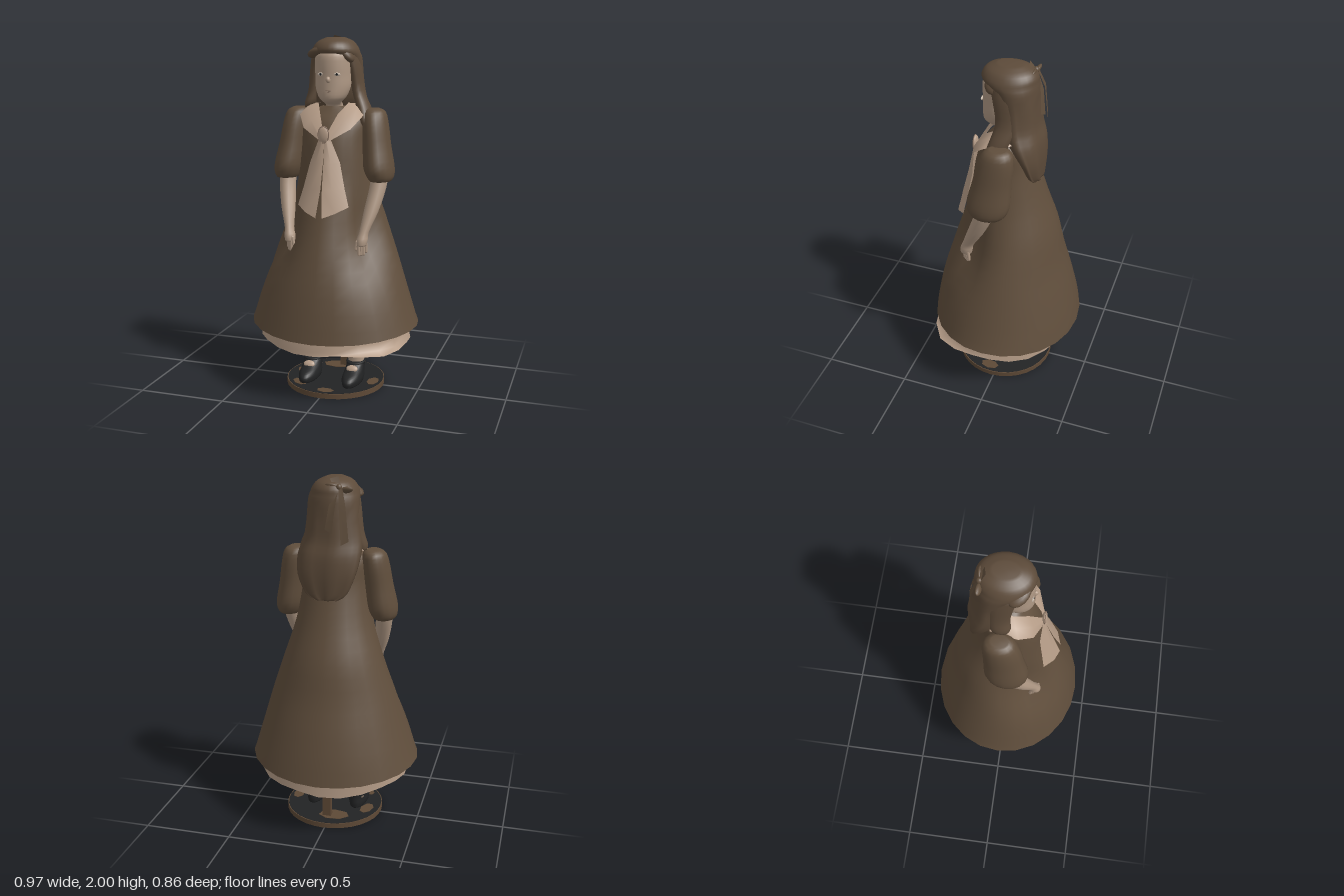
import * as THREE from 'three';

const mat = (name, color) => new THREE.MeshStandardMaterial({ name, color, side: THREE.DoubleSide });

// Smooth loft through level elliptical sections [y, cx, cz, rx, rz], listed from the bottom up
function loft(sections, { seg = 20, sub = 3, cap = true, rule = null } = {}) {
  const rows = [], n = sections.length, at = i => sections[Math.min(n - 1, Math.max(0, i))];
  for (let i = 0; i < n - 1; i++) {
    for (let k = 0; k < sub; k++) {
      const t = k / sub;
      rows.push(sections[i].map((b, d) => {
        const a = at(i - 1)[d], c = at(i + 1)[d], e = at(i + 2)[d];
        return b + 0.5 * t * (c - a + t * (2 * a - 5 * b + 4 * c - e + t * (3 * (b - c) + e - a)));
      }));
    }
  }
  rows.push(sections[n - 1]);
  if (cap) {
    const first = rows[0], last = rows[rows.length - 1];
    rows.unshift([first[0], first[1], first[2], 0, 0]);
    rows.push([last[0], last[1], last[2], 0, 0]);
  }
  const pos = [], index = [];
  rows.forEach(([y, cx, cz, rx, rz], i) => {
    for (let j = 0; j < seg; j++) {
      const a = j / seg * Math.PI * 2;
      const p = new THREE.Vector3(cx + rx * Math.sin(a), y, cz + rz * Math.cos(a));
      if (rule) rule(p, a, i === 0);
      pos.push(p.x, p.y, p.z);
      if (i < rows.length - 1) {
        const k = (j + 1) % seg, o = i * seg, u = o + seg;
        index.push(o + j, o + k, u + k, o + j, u + k, u + j);
      }
    }
  });
  return build(pos, index);
}

// Cloth sheet through rows of points
function sheet(rows) {
  const w = rows[0].length, index = [];
  for (let i = 0; i < rows.length - 1; i++) {
    for (let j = 0; j < w - 1; j++) {
      const a = i * w + j, b = a + w;
      index.push(a, a + 1, b + 1, a, b + 1, b);
    }
  }
  return build(rows.flat(2), index);
}

function build(pos, index) {
  const g = new THREE.BufferGeometry();
  g.setAttribute('position', new THREE.Float32BufferAttribute(pos, 3));
  g.setIndex(index);
  g.computeVertexNormals();
  return g;
}

export function createModel() {
  const root = new THREE.Group();
  const brown = mat('brown cloth', 0x604e3c), hairMat = mat('hair brown', 0x5d4b3a);
  const cream = mat('cream cloth', 0xb69d88), skin = mat('skin', 0xb09985);
  const black = mat('black leather', 0x222324), wood = mat('stand brown', 0x5e4936);
  const lip = mat('lip', 0x8d7565), white = mat('eye white', 0xcfc0b0);

  const add = (name, geo, material, x = 0, y = 0, z = 0) => {
    const m = new THREE.Mesh(geo, material);
    m.name = name;
    m.position.set(x, y, z);
    root.add(m);
    return m;
  };
  const ball = (name, material, x, y, z, sx, sy, sz) => {
    const m = add(name, new THREE.SphereGeometry(1, 16, 12), material, x, y, z);
    m.scale.set(sx, sy, sz);
    return m;
  };

  // Display stand with mottled top
  add('standBase', new THREE.CylinderGeometry(0.285, 0.285, 0.029, 32), wood, 0.008, 0.0165, 0.015);
  add('standTop', new THREE.CylinderGeometry(0.28, 0.28, 0.003, 32), black, 0.008, 0.031, 0.015);
  for (const [x, z, r, turn] of [[-0.16, 0.17, 0.055, -0.7], [0.02, 0.25, 0.05, 0], [0.24, 0.04, 0.055, 1.5],
    [-0.03, -0.16, 0.09, 0.1], [-0.2, -0.04, 0.06, 1.3]]) {
    const patch = add('standPatch', new THREE.CylinderGeometry(r, r, 0.003, 7), wood, x, 0.033, z);
    patch.scale.z = 0.6;
    patch.rotation.y = turn;
  }
  const under = add('standUnderPatch', new THREE.CylinderGeometry(0.075, 0.075, 0.003, 7), black, 0.235, 0.0017, 0.1);
  under.scale.x = 0.5;
  under.rotation.y = -0.35;
  add('standPole', new THREE.BoxGeometry(0.05, 0.95, 0.035), wood, 0.008, 0.5, -0.168);

  // Dress: flared skirt running up into the bodice, pressed in behind the hands
  add('dress', loft([
    [0.37, 0, 0, 0.485, 0.43], [0.6, 0, 0.004, 0.415, 0.383], [0.8, 0, 0.004, 0.355, 0.33],
    [1.0, 0, -0.008, 0.285, 0.278], [1.2, 0, -0.005, 0.218, 0.215], [1.4, 0, 0.008, 0.185, 0.17],
    [1.52, 0, 0, 0.185, 0.14], [1.58, 0, -0.008, 0.155, 0.1], [1.615, 0, 0, 0.065, 0.065],
  ], {
    seg: 24, cap: false,
    rule: (p, a, hem) => {
      const side = Math.min(a, Math.PI * 2 - a);
      const press = 1 - 0.28 * Math.exp(-(((side - 0.95) / 0.42) ** 2) - ((p.y - 0.93) / 0.22) ** 2);
      p.x *= press;
      p.z *= press;
      if (hem) p.y += -0.012 * Math.cos(2 * a) + 0.013 * Math.min(0, Math.cos(a));
    },
  }), brown);

  // Petticoat with an uneven hem, swung out to the front left
  add('petticoat', loft([
    [0.285, 0.01, 0.02, 0.435, 0.39], [0.4, 0.005, 0.015, 0.42, 0.38], [0.62, 0, 0.005, 0.36, 0.33],
  ], {
    seg: 22, cap: false,
    rule: (p, a, hem) => {
      if (!hem) return;
      const swing = 1 + 0.1 * Math.exp(-(((a - 0.8) / 0.4) ** 2));
      p.x *= swing;
      p.z *= swing;
      p.y += 0.025 * Math.abs(Math.sin(a)) - 0.016 + 0.017 * Math.cos(a) + 0.008 * Math.sin(5 * a);
    },
  }), cream);

  for (const s of [-1, 1]) {
    // Legs and strap shoes
    add('leg', loft([
      [0.09, s * 0.13, 0, 0.046, 0.05], [0.18, s * 0.128, 0, 0.05, 0.05],
      [0.3, s * 0.125, -0.002, 0.063, 0.064], [0.6, s * 0.12, 0, 0.07, 0.07], [0.9, s * 0.11, 0, 0.08, 0.08],
    ], { seg: 14 }), skin);
    add('shoe', loft([
      [0.034, s * 0.13, 0.07, 0.052, 0.128], [0.06, s * 0.13, 0.07, 0.057, 0.132],
      [0.085, s * 0.13, 0.058, 0.054, 0.118], [0.11, s * 0.13, 0.025, 0.052, 0.082],
      [0.142, s * 0.13, 0, 0.055, 0.06],
    ], { seg: 18 }), black);
    ball('instep', cream, s * 0.13, 0.115, 0.094, 0.034, 0.012, 0.022).rotation.x = 0.85;
    const strap = add('shoeStrap', new THREE.TorusGeometry(0.05, 0.008, 6, 20), black, s * 0.13, 0.138, 0.006);
    strap.rotation.x = Math.PI / 2 + 0.1;
    strap.scale.y = 1.2;

    // Puffed sleeves
    add('sleeve', loft([
      [1.21, s * 0.272, 0.03, 0.06, 0.085], [1.235, s * 0.27, 0.028, 0.075, 0.106],
      [1.29, s * 0.26, 0.024, 0.084, 0.12], [1.4, s * 0.244, 0.01, 0.077, 0.108],
      [1.51, s * 0.23, -0.005, 0.073, 0.1], [1.58, s * 0.22, -0.015, 0.064, 0.08],
      [1.603, s * 0.215, -0.015, 0.035, 0.045],
    ], { seg: 16 }), brown);

    // Arms and hands
    add('arm', loft([
      [0.87, s * 0.207, 0.182, 0.027, 0.033], [0.9, s * 0.21, 0.178, 0.031, 0.036],
      [0.945, s * 0.218, 0.163, 0.026, 0.033], [1.05, s * 0.242, 0.112, 0.04, 0.045],
      [1.17, s * 0.264, 0.06, 0.046, 0.052], [1.26, s * 0.27, 0.03, 0.048, 0.055],
    ], { seg: 14 }), skin);
    for (let f = 0; f < 4; f++) {
      const finger = add('finger', new THREE.CapsuleGeometry(0.01, 0.05, 3, 8), skin,
        s * (0.196 + f * 0.01), 0.846 + (f === 3 ? 0.012 : 0), 0.198 - f * 0.012);
      finger.rotation.x = 0.1;
    }
    const thumb = add('thumb', new THREE.CapsuleGeometry(0.01, 0.04, 3, 8), skin, s * 0.184, 0.872, 0.198);
    thumb.rotation.z = s * -0.2;

    // Wide collar flap
    add('collar', sheet([
      [[0, 1.625, -0.065], [s * 0.065, 1.635, -0.035], [s * 0.085, 1.63, 0.04], [s * 0.05, 1.575, 0.115], [s * 0.008, 1.47, 0.187]],
      [[0, 1.63, -0.11], [s * 0.13, 1.63, -0.05], [s * 0.142, 1.61, 0.06], [s * 0.095, 1.545, 0.145], [s * 0.015, 1.455, 0.196]],
      [[0, 1.58, -0.14], [s * 0.17, 1.605, -0.07], [s * 0.182, 1.567, 0.075], [s * 0.135, 1.5, 0.15], [s * 0.025, 1.435, 0.194]],
    ]), cream);

    // Neck ribbon tail
    add('ribbonTail', sheet([
      [[0, 1.46, 0.192], [s * 0.012, 1.46, 0.196], [s * 0.03, 1.455, 0.188]],
      [[s * 0.001, 1.32, 0.215], [s * 0.042, 1.32, 0.218], [s * 0.085, 1.32, 0.182]],
      [[s * 0.004, 1.18, 0.252], [s * 0.06, 1.18, 0.25], [s * 0.118, 1.18, 0.203]],
      [[s * 0.018, 1.03, 0.297], [s * 0.085, 1.055, 0.272], [s * 0.145, 1.085, 0.218]],
    ]), cream);

    // Eyes
    ball('eyeWhite', white, 0.004 + s * 0.046, 1.79, 0.127, 0.019, 0.009, 0.005);
    ball('iris', black, 0.004 + s * 0.046, 1.79, 0.13, 0.007, 0.007, 0.0035);
  }
  ball('brooch', cream, -0.005, 1.47, 0.193, 0.031, 0.046, 0.014);
  const rim = add('broochRim', new THREE.TorusGeometry(0.03, 0.003, 6, 20), lip, -0.005, 1.47, 0.196);
  rim.scale.y = 1.48;

  // Head and neck, with full cheeks
  add('head', loft([
    [1.54, 0, 0.005, 0.052, 0.052], [1.615, 0, 0.012, 0.048, 0.05], [1.638, 0, 0.05, 0.05, 0.066],
    [1.665, 0, 0.052, 0.076, 0.084], [1.72, 0, 0.037, 0.097, 0.1], [1.78, 0, 0.033, 0.1, 0.103],
    [1.84, 0, 0.03, 0.102, 0.107], [1.9, 0, 0.022, 0.1, 0.107], [1.95, 0, 0, 0.07, 0.08],
  ], { seg: 24 }), skin);
  ball('nose', skin, 0.002, 1.76, 0.133, 0.013, 0.018, 0.019).rotation.x = -0.4;
  ball('mouth', lip, 0.002, 1.702, 0.131, 0.021, 0.005, 0.007);
  ball('lowerLip', lip, 0.002, 1.693, 0.131, 0.014, 0.005, 0.007);

  // Long hair: crown, receding around the face, falling down the back
  add('hair', loft([
    [1.345, 0.01, -0.175, 0.065, 0.02], [1.38, 0.01, -0.167, 0.115, 0.032], [1.48, 0.012, -0.15, 0.158, 0.055],
    [1.58, 0.006, -0.11, 0.172, 0.09], [1.66, -0.004, -0.075, 0.16, 0.105], [1.76, -0.002, -0.06, 0.145, 0.112],
    [1.865, 0, -0.04, 0.14, 0.126], [1.905, 0, -0.013, 0.133, 0.148], [1.935, 0, -0.01, 0.12, 0.146],
    [1.965, 0, -0.01, 0.094, 0.12], [1.987, 0, -0.01, 0.045, 0.065],
  ], {
    seg: 28,
    rule: (p, a) => {
      if (p.y < 1.8) { p.x *= 1 + 0.025 * Math.sin(9 * a); p.z += 0.005 * Math.sin(7 * a); }
    },
  }), hairMat);
  add('leftLock', loft([
    [1.48, 0.195, 0.02, 0.014, 0.02], [1.53, 0.184, 0.022, 0.03, 0.05], [1.61, 0.16, -0.005, 0.038, 0.055],
    [1.7, 0.125, -0.03, 0.034, 0.06], [1.82, 0.11, -0.02, 0.033, 0.07], [1.9, 0.09, 0, 0.035, 0.07],
  ], { seg: 14 }), hairMat);
  add('rightLock', loft([
    [1.6, -0.162, -0.02, 0.018, 0.04], [1.63, -0.148, -0.02, 0.034, 0.055], [1.7, -0.127, -0.03, 0.036, 0.058],
    [1.82, -0.114, -0.02, 0.032, 0.066], [1.9, -0.095, 0, 0.035, 0.065],
  ], { seg: 14 }), hairMat);
  ball('sweptFringe', hairMat, -0.07, 1.908, 0.062, 0.08, 0.03, 0.055).rotation.set(0, -0.45, 0.3);
  ball('sideFringe', hairMat, 0.08, 1.895, 0.05, 0.055, 0.028, 0.05).rotation.z = -0.8;

  // Flat hair bow with hanging tails
  const bowX = -0.05;
  ball('bowKnot', brown, bowX, 1.945, -0.13, 0.016, 0.018, 0.016);
  for (const s of [-1, 1]) {
    ball('bowLoop', brown, bowX + s * 0.038, 1.94 + s * 0.008, -0.128, 0.038, 0.02, 0.012)
      .rotation.set(-0.6, 0, s * 0.2);
    add('bowTail', sheet([
      [[bowX, 1.945, -0.138], [bowX + s * 0.02, 1.945, -0.138]],
      [[bowX + s * 0.01, 1.85, -0.175], [bowX + s * 0.045, 1.85, -0.17]],
      [[bowX + s * 0.025, 1.68 + s * 0.03, -0.192], [bowX + s * 0.065, 1.7 + s * 0.03, -0.18]],
    ]), brown);
  }
  add('bowTip', sheet([
    [[-0.06, 1.95, -0.125], [-0.02, 1.955, -0.13]], [[-0.04, 1.998, -0.1], [0.005, 1.985, -0.11]],
  ]), brown);

  return root;
}
